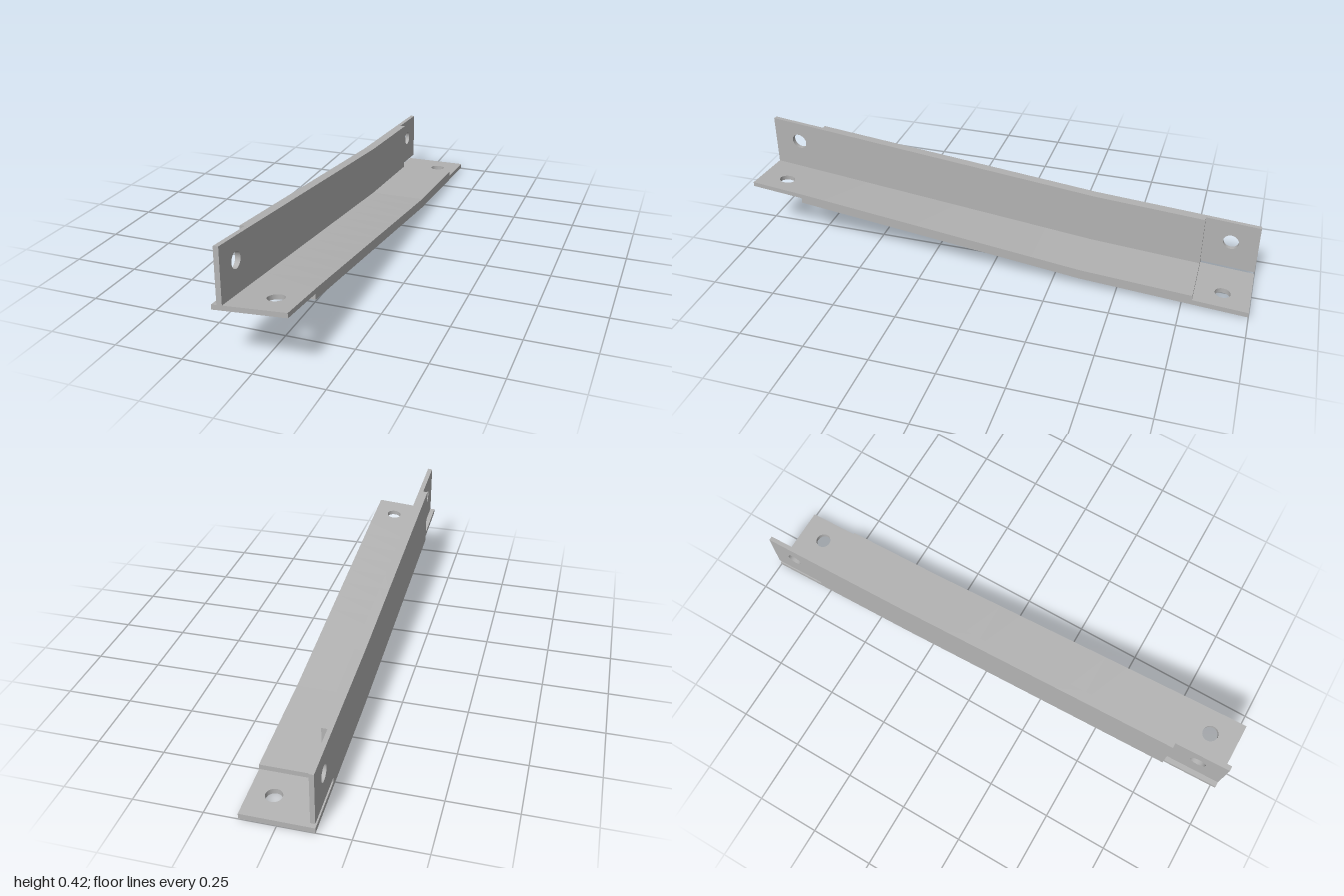
import * as THREE from 'three';

const W = 0.13;        // half width
const STEP = 0.79;     // where the lapped ends begin
const BEND = -0.36;    // where the bar is bent
const T = 0.039;       // full leg thickness
const H = 0.239;       // height of upright leg
const lerp = THREE.MathUtils.lerp;

// Underside height of the bent, slightly twisted bar
function base(x, z) {
  const y = z < BEND ? lerp(0, 0.043, (z + 1) / (BEND + 1))
                     : lerp(0.043, 0.182, (z - BEND) / (1 - BEND));
  const k = THREE.MathUtils.clamp((z - BEND) / (STEP - BEND), 0, 1);
  return y + lerp(0.008, 0.077, k) * (x + W);
}

// Lift straight geometry onto the bent bar
function bend(geo) {
  const p = geo.attributes.position;
  for (let i = 0; i < p.count; i++) {
    p.setY(i, p.getY(i) + base(p.getX(i), p.getZ(i)));
  }
  geo.computeVertexNormals();
  return geo;
}

function plateShape(x0, y0, x1, y1, hx, hy) {
  const s = new THREE.Shape([[x0, y0], [x1, y0], [x1, y1], [x0, y1]].map(a => new THREE.Vector2(...a)));
  const hole = new THREE.Path();
  hole.absarc(hx, hy, 0.03, 0, Math.PI * 2, true);
  s.holes.push(hole);
  return s;
}

const extrude = (shape, depth, steps = 1) =>
  new THREE.ExtrudeGeometry(shape, { depth, steps, bevelEnabled: false, curveSegments: 32 });

export function createModel() {
  const group = new THREE.Group();
  const steel = new THREE.MeshStandardMaterial({ color: 0xb3b3b3 });
  steel.name = 'steel grey';
  const add = (name, geo) => {
    const mesh = new THREE.Mesh(bend(geo), steel);
    mesh.name = name;
    group.add(mesh);
  };

  // Main L-section on both sides of the bend
  const angle = new THREE.Shape([
    [-W, 0], [W, 0], [W, T], [-0.092, T], [-0.092, H], [-W, H],
  ].map(a => new THREE.Vector2(...a)));
  add('frontAngle', extrude(angle, STEP - BEND, 12).translate(0, 0, BEND));
  add('backAngle', extrude(angle, BEND + STEP).translate(0, 0, -STEP));

  // Thinned, drilled tabs at each end
  const ends = [
    { name: 'front', z0: STEP, z1: 1, floor: [0.021, T], wall: [-0.111, -0.092], holeY: 0.157 },
    { name: 'back', z0: -1, z1: -STEP, floor: [0, 0.02], wall: [-W, -0.113], holeY: 0.152 },
  ];
  for (const e of ends) {
    const hz = e.name === 'front' ? 0.895 : -0.895;
    const floor = extrude(plateShape(-W, -e.z1, W, -e.z0, 0.042, -hz), e.floor[1] - e.floor[0]);
    add(e.name + 'FloorTab', floor.rotateX(-Math.PI / 2).translate(0, e.floor[0], 0));
    const wall = extrude(plateShape(-e.z1, T, -e.z0, H, -hz, e.holeY), e.wall[1] - e.wall[0]);
    add(e.name + 'WallTab', wall.rotateY(Math.PI / 2).translate(e.wall[0], 0, 0));
  }
  return group;
}
